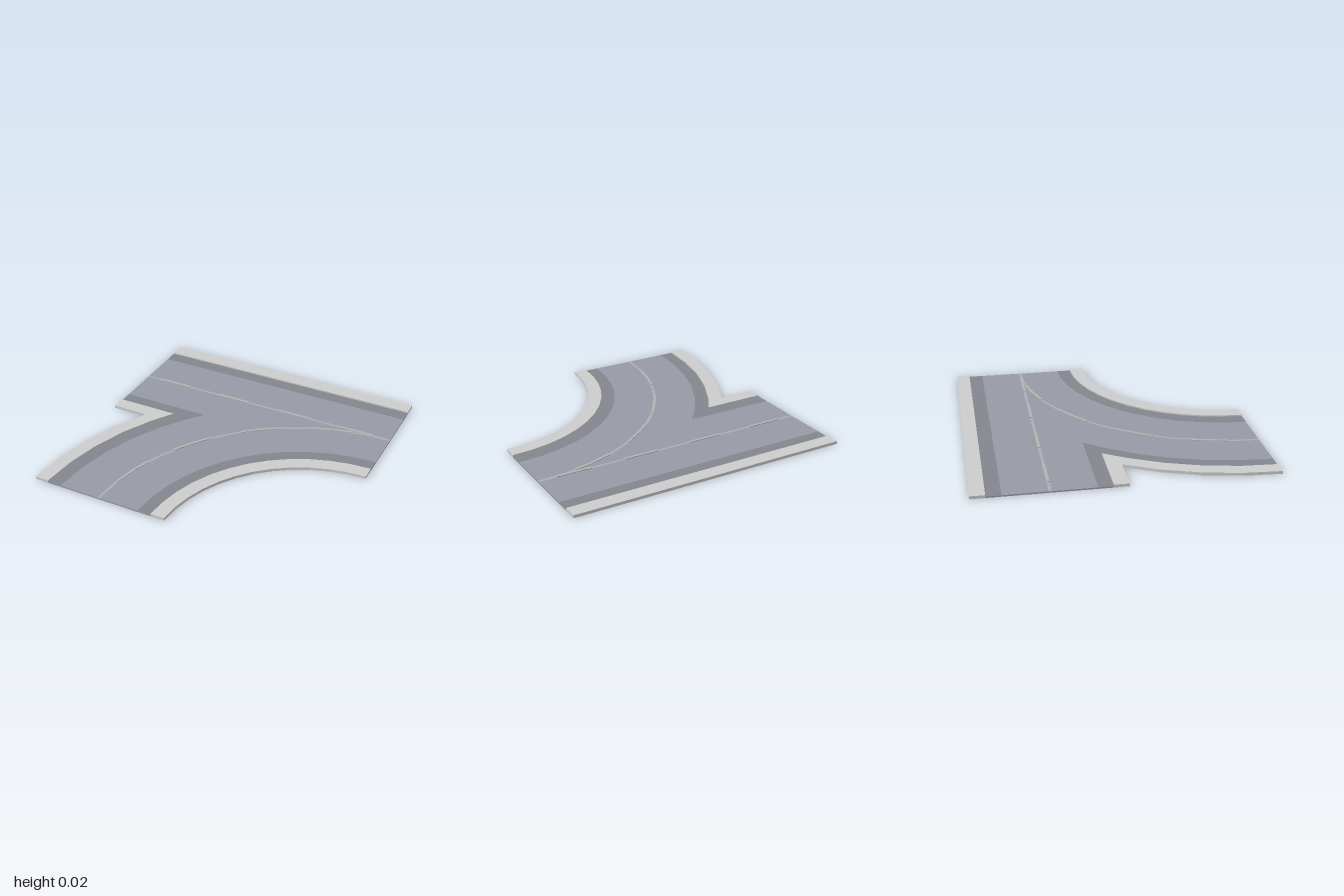
import * as THREE from 'three';

const COLORS = { road: 0x9799a5, gutter: 0x84868e, kerb: 0xc6c4c8, line: 0xaaacb8, dash: 0xb4b2b0 };
const ROAD_TOP = 0.01, KERB_TOP = 0.02, DASH_TOP = 0.015;
const STEP = 7.5;

// Point on the bend, which is centred on (1, 1); 0 degrees is the front end.
const bend = (r, deg) => {
  const a = THREE.MathUtils.degToRad(deg);
  return [1 - r * Math.cos(a), 1 - r * Math.sin(a)];
};

// Facetted arc of [x, z] points from one angle up to another.
function arc(r, from, to) {
  const points = [bend(r, from)];
  for (let d = (Math.floor(from / STEP) + 1) * STEP; d < to - 0.01; d += STEP) points.push(bend(r, d));
  points.push(bend(r, to));
  return points;
}

// Angle at which a circle of the bend reaches a given z.
const angleAt = (r, z) => THREE.MathUtils.radToDeg(Math.asin((1 - z) / r));

const rect = (x0, x1, z0, z1) => [[x0, z0], [x1, z0], [x1, z1], [x0, z1]];
const band = (r0, r1, from, to) => [...arc(r0, from, to), ...arc(r1, from, to).reverse()];

// Strip that follows the straight road's near edge, then turns down the bend.
function cornerStrip(zOut, zIn, rOut, rIn) {
  return [
    [-1, zOut], [-1, zIn],
    ...arc(rIn, 0, angleAt(rIn, zIn)).reverse(),
    ...arc(rOut, 0, angleAt(rOut, zOut)),
  ];
}

export function createModel() {
  const model = new THREE.Group();
  model.name = 'roadJunction';
  const materials = {};
  for (const key in COLORS) {
    materials[key] = new THREE.MeshStandardMaterial({ color: COLORS[key] });
  }

  const shapeOf = (outline) => new THREE.Shape(outline.map(([x, z]) => new THREE.Vector2(x, -z)));

  function add(name, geometry, y, material) {
    geometry.rotateX(-Math.PI / 2).translate(0, y, 0);
    const mesh = new THREE.Mesh(geometry, materials[material]);
    mesh.name = name;
    model.add(mesh);
  }
  const slab = (name, outline, y0, y1, material) =>
    add(name, new THREE.ExtrudeGeometry(shapeOf(outline), { depth: y1 - y0, bevelEnabled: false }), y0, material);
  const paint = (name, outline, y, material) =>
    add(name, new THREE.ShapeGeometry(shapeOf(outline)), y, material);

  // Road surface: straight road joined with the bend
  slab('roadSurface', [
    [-1, -0.9], [1, -0.9],
    ...arc(1.1, 0, 90).reverse(),
    ...arc(1.9, 0, angleAt(1.9, -0.1)),
    [-1, -0.1],
  ], 0, ROAD_TOP, 'road');

  // Raised kerbs
  slab('backKerb', rect(-1, 1, -1, -0.9), 0, KERB_TOP, 'kerb');
  slab('innerKerb', band(1, 1.1, 0, 90), 0, KERB_TOP, 'kerb');
  slab('cornerKerb', cornerStrip(0, -0.1, 2, 1.9), 0, KERB_TOP, 'kerb');

  // Darker gutters beside the kerbs
  const gutterY = ROAD_TOP + 0.0004;
  paint('backGutter', rect(-1, 1, -0.9, -0.8), gutterY, 'gutter');
  paint('innerGutter', band(1.1, 1.2, 0, 90), gutterY, 'gutter');
  paint('cornerGutter', cornerStrip(-0.1, -0.2, 1.9, 1.8), gutterY, 'gutter');

  // Centre lines with raised dashes
  paint('straightLine', rect(-1, 1, -0.51, -0.49), ROAD_TOP + 0.0004, 'line');
  paint('bendLine', band(1.49, 1.51, 0, 90), ROAD_TOP + 0.0008, 'line');
  for (let i = 0; i < 4; i++) {
    const x = -0.875 + i * 0.5;
    slab('straightDash', rect(x, x + 0.25, -0.51, -0.49), ROAD_TOP, DASH_TOP, 'dash');
    const a = 8 + i * 20;
    slab('bendDash', band(1.49, 1.51, a, a + 11.5), ROAD_TOP, DASH_TOP, 'dash');
  }

  return model;
}
